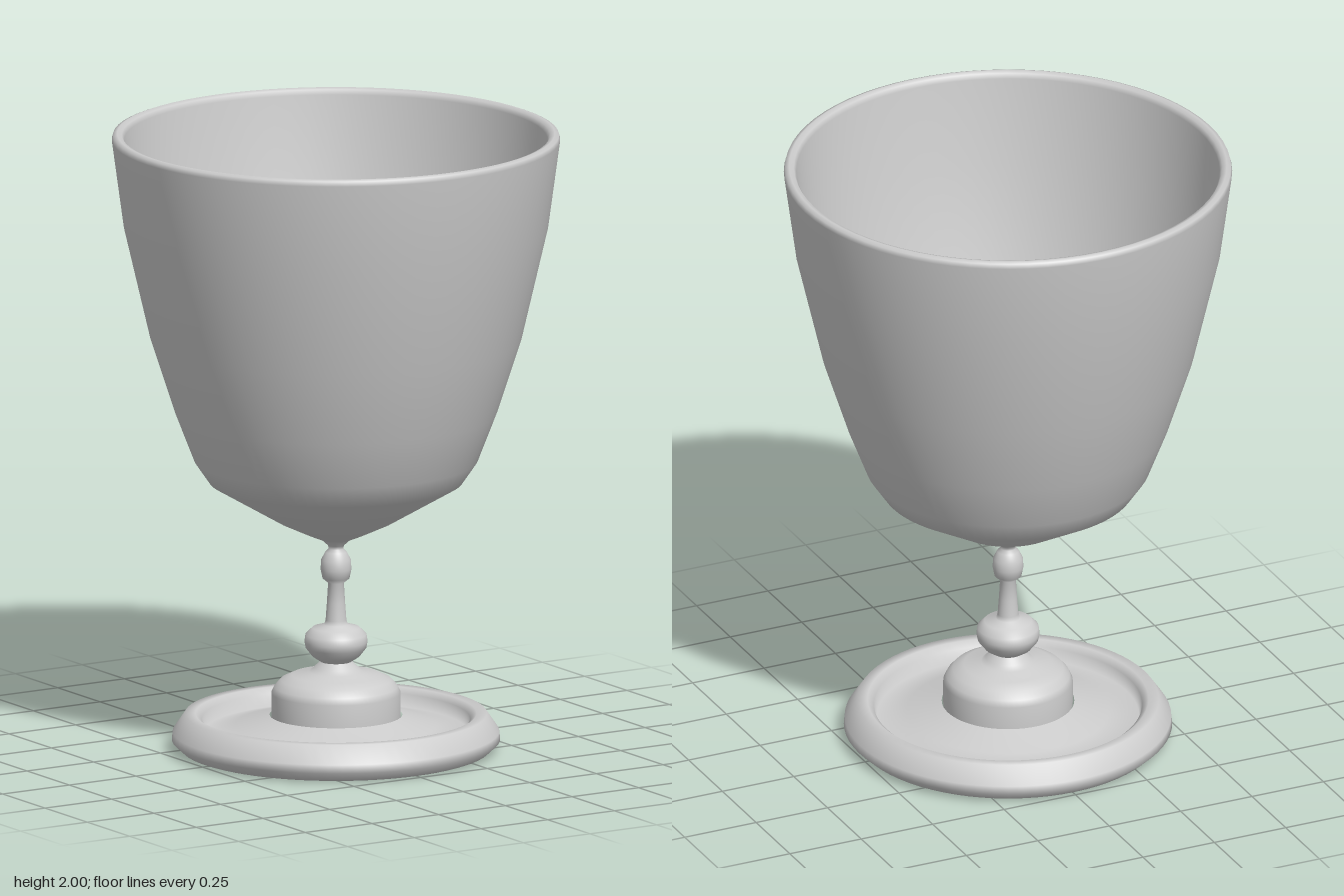
import * as THREE from 'three';

const SEGMENTS = 72;

// Turn a profile of [radius, height] pairs around the vertical axis
function turned(name, profile, material) {
  const points = profile.map(([r, y]) => new THREE.Vector2(r, y));
  const mesh = new THREE.Mesh(new THREE.LatheGeometry(points, SEGMENTS), material);
  mesh.name = name;
  return mesh;
}

export function createModel() {
  const group = new THREE.Group();
  group.name = 'goblet';
  const silver = new THREE.MeshStandardMaterial({ color: 0xcccccc });
  silver.name = 'pale grey';

  // Foot: hollow underside, thick raised ring, dished top rising to the dome
  group.add(turned('foot', [
    [0, 0.22], [0.09, 0.21], [0.14, 0.17], [0.16, 0.1], [0.28, 0.06],
    [0.4, 0.025], [0.475, 0.005], [0.49, 0.01], [0.52, 0.038], [0.517, 0.065],
    [0.478, 0.122], [0.445, 0.122], [0.425, 0.105], [0.415, 0.065],
    [0.32, 0.085], [0.21, 0.118],
  ], silver));

  // Domed step in the middle of the foot
  group.add(turned('dome', [
    [0.205, 0.11], [0.205, 0.19], [0.195, 0.21], [0.175, 0.232], [0.14, 0.248],
    [0.085, 0.258], [0.07, 0.272], [0.048, 0.292],
  ], silver));

  // Stem with a wide collar below and a small bead above
  group.add(turned('stem', [
    [0.048, 0.29], [0.075, 0.308], [0.096, 0.335], [0.1, 0.355], [0.097, 0.378],
    [0.075, 0.4], [0.038, 0.41], [0.033, 0.425], [0.029, 0.48], [0.025, 0.545],
    [0.043, 0.56], [0.049, 0.59], [0.047, 0.62], [0.034, 0.645], [0.024, 0.655],
    [0.025, 0.666], [0.045, 0.684],
  ], silver));

  // Bowl: outer wall, rounded lip, inner wall
  group.add(turned('bowl', [
    [0.04, 0.682], [0.09, 0.703], [0.18, 0.745], [0.402, 0.875], [0.45, 0.945],
    [0.51, 1.1], [0.588, 1.34], [0.672, 1.7], [0.71, 1.98], [0.706, 1.995],
    [0.693, 2.0], [0.678, 1.995], [0.67, 1.98], [0.635, 1.7], [0.55, 1.34],
    [0.472, 1.11], [0.415, 0.97], [0.365, 0.9], [0.17, 0.785], [0.07, 0.735], [0, 0.725],
  ], silver));

  return group;
}
